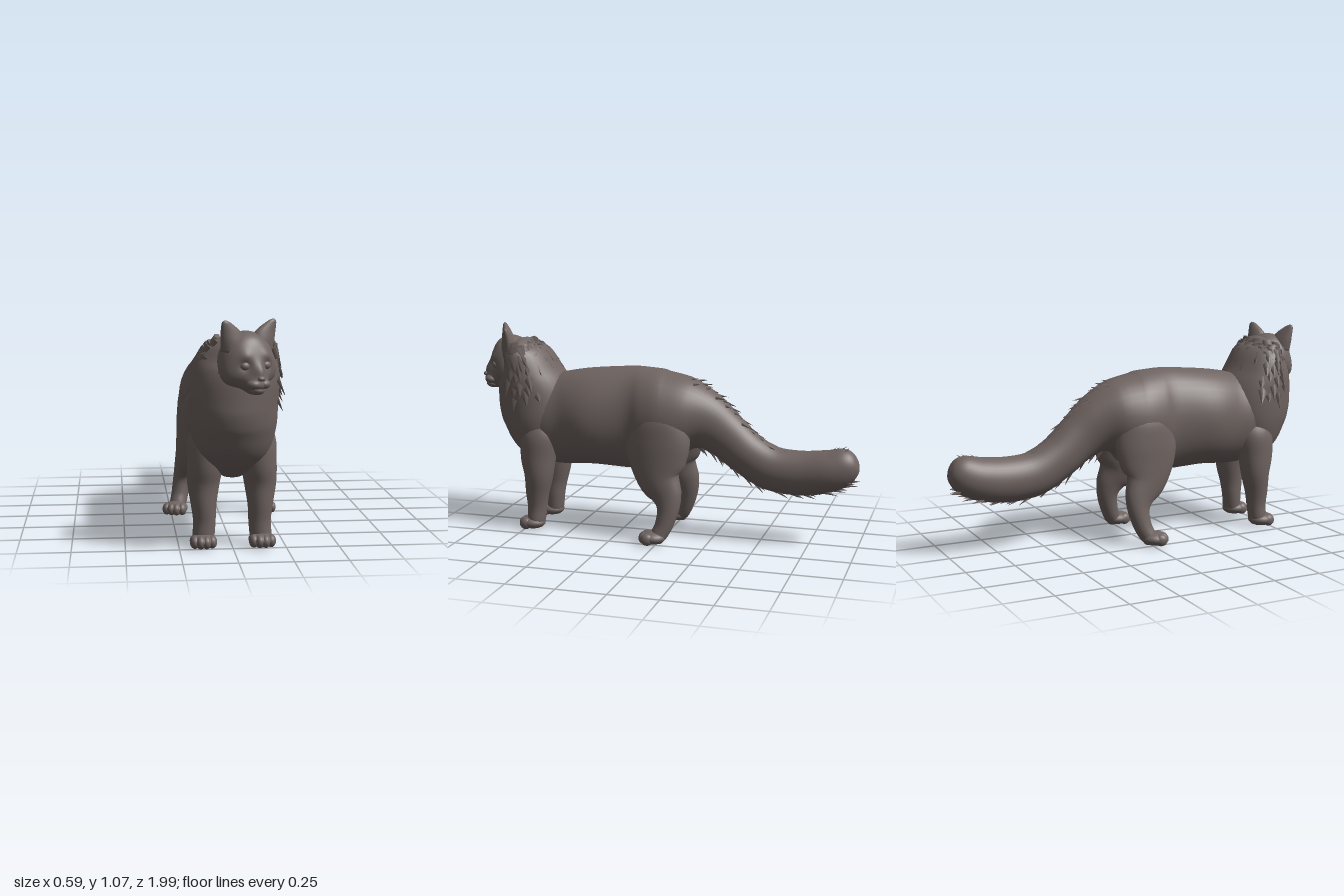
import * as THREE from 'three';
import { mergeGeometries, mergeVertices } from 'three/addons/utils/BufferGeometryUtils.js';

const fur = new THREE.MeshStandardMaterial({ color: 0x6f6461 });
fur.name = 'brownGreyFur';

// A section is [x, y, z, half width along x, half width across].
function sampler(sections) {
  const centre = new THREE.CatmullRomCurve3(sections.map(s => new THREE.Vector3(s[0], s[1], s[2])), false, 'catmullrom');
  const size = new THREE.CatmullRomCurve3(sections.map(s => new THREE.Vector3(s[3], s[4], 0)), false, 'catmullrom');
  const X = new THREE.Vector3(1, 0, 0);
  return (t, a) => {
    const c = centre.getPoint(t), r = size.getPoint(t), T = centre.getTangent(t);
    const U = T.clone().cross(X).normalize();
    const out = X.clone().multiplyScalar(Math.cos(a)).addScaledVector(U, Math.sin(a));
    const p = c.clone().addScaledVector(X, Math.cos(a) * Math.max(r.x, 0.002))
      .addScaledVector(U, Math.sin(a) * Math.max(r.y, 0.002));
    return { c, T, out, p };
  };
}

// Smooth skin over elliptical sections
function loft(sections, sides = 28) {
  const at = sampler(sections), rows = (sections.length - 1) * 5, pos = [], idx = [];
  for (let i = 0; i <= rows; i++) {
    for (let j = 0; j < sides; j++) pos.push(...at(i / rows, j / sides * Math.PI * 2).p.toArray());
  }
  for (let i = 0; i < rows; i++) {
    for (let j = 0; j < sides; j++) {
      const a = i * sides + j, b = i * sides + (j + 1) % sides;
      idx.push(a, b, a + sides, b, b + sides, a + sides);
    }
  }
  const first = pos.length / 3;
  pos.push(...at(0, 0).c.toArray(), ...at(1, 0).c.toArray());
  for (let j = 0; j < sides; j++) {
    const k = (j + 1) % sides;
    idx.push(first, k, j, first + 1, rows * sides + j, rows * sides + k);
  }
  const g = new THREE.BufferGeometry();
  g.setAttribute('position', new THREE.Float32BufferAttribute(pos, 3));
  g.setIndex(idx);
  g.computeVertexNormals();
  return g;
}

// Rows of flattened fur spikes lying back along a lofted skin
function tufts(sections, t0, t1, rows, angles, length, lift) {
  const at = sampler(sections), list = [];
  for (let i = 0; i < rows; i++) {
    angles.forEach((a, j) => {
      const s = at(t0 + (t1 - t0) * (i + 0.4 * (j % 2)) / rows, a + 0.1 * Math.sin(i * 2.3 + j));
      const len = length * (0.85 + 0.3 * Math.sin(i * 4.1 + j * 2.7));
      const y = s.T.clone().negate().addScaledVector(s.out, lift).normalize();
      const x = y.clone().cross(s.out).normalize();
      const z = x.clone().cross(y);
      const g = new THREE.ConeGeometry(length * 0.32, len, 4).scale(1, 1, 0.4);
      g.applyMatrix4(new THREE.Matrix4().makeBasis(x, y, z));
      const p = s.p.addScaledVector(y, len * 0.25).addScaledVector(s.out, -0.008);
      list.push(g.translate(p.x, p.y, p.z));
    });
  }
  return mergeGeometries(list);
}

function add(parent, name, geometry) {
  const m = new THREE.Mesh(geometry, fur);
  m.name = name;
  parent.add(m);
  return m;
}

function ball(parent, name, x, y, z, rx, ry, rz) {
  return add(parent, name, new THREE.SphereGeometry(1, 24, 16).scale(rx, ry, rz).translate(x, y, z));
}

// Paw with four toes
function paw(parent, name, x, z, turn) {
  const g = new THREE.Group();
  g.name = name;
  g.position.set(x, 0, z);
  g.rotation.y = turn;
  ball(g, 'pad', 0, 0.035, 0, 0.063, 0.035, 0.068);
  for (let i = 0; i < 4; i++) {
    const u = i - 1.5;
    ball(g, 'toe', u * 0.027, 0.033, 0.044 - Math.abs(u) * 0.012, 0.023, 0.031, 0.033);
  }
  parent.add(g);
}

const body = [
  [0, 0.445, -0.99, 0.01, 0.01], [0, 0.44, -0.975, 0.05, 0.055], [0, 0.425, -0.93, 0.08, 0.09],
  [0, 0.39, -0.84, 0.1, 0.108], [0, 0.37, -0.7, 0.1, 0.115], [0, 0.385, -0.55, 0.1, 0.115],
  [0, 0.455, -0.42, 0.1, 0.113], [0, 0.55, -0.3, 0.105, 0.125], [0, 0.61, -0.2, 0.135, 0.158],
  [0, 0.632, -0.1, 0.185, 0.206], [0, 0.624, 0, 0.207, 0.247], [0, 0.614, 0.1, 0.2, 0.265],
  [0, 0.61, 0.2, 0.18, 0.27], [0, 0.605, 0.4, 0.21, 0.257], [0, 0.587, 0.55, 0.188, 0.248],
  [0, 0.58, 0.65, 0.185, 0.235], [0, 0.58, 0.74, 0.165, 0.185], [0, 0.6, 0.81, 0.11, 0.12], [0, 0.61, 0.85, 0.03, 0.03],
];
const ruff = [
  [0, 0.34, 0.68, 0.05, 0.04], [0, 0.39, 0.69, 0.115, 0.085], [0, 0.45, 0.7, 0.165, 0.135], [0, 0.52, 0.71, 0.19, 0.172],
  [0, 0.6, 0.717, 0.204, 0.2], [0, 0.7, 0.732, 0.207, 0.203], [0.005, 0.8, 0.757, 0.207, 0.175],
  [0.012, 0.89, 0.775, 0.192, 0.137], [0.025, 0.95, 0.795, 0.163, 0.092], [0.035, 0.99, 0.805, 0.1, 0.055],
  [0.04, 1.005, 0.81, 0.03, 0.02],
];
const foreLeg = [
  [0.11, 0.62, 0.66, 0.04, 0.06], [0.12, 0.52, 0.672, 0.083, 0.1], [0.125, 0.4, 0.68, 0.085, 0.096],
  [0.133, 0.3, 0.677, 0.076, 0.078], [0.133, 0.2, 0.687, 0.06, 0.063], [0.13, 0.12, 0.69, 0.053, 0.052],
  [0.135, 0.05, 0.695, 0.052, 0.047], [0.135, 0.015, 0.7, 0.045, 0.035],
];
const hindLeg = [
  [0.08, 0.74, 0.02, 0.05, 0.06], [0.11, 0.65, 0.02, 0.092, 0.14], [0.13, 0.53, 0.018, 0.089, 0.168],
  [0.145, 0.42, 0.015, 0.077, 0.154], [0.158, 0.33, 0.003, 0.066, 0.118], [0.175, 0.25, -0.04, 0.054, 0.082],
  [0.188, 0.18, -0.052, 0.048, 0.058], [0.202, 0.1, -0.035, 0.045, 0.047], [0.215, 0.045, -0.01, 0.044, 0.042],
  [0.22, 0.015, 0, 0.04, 0.03],
];
const mirror = (sections, s) => sections.map(([x, ...rest]) => [x * s, ...rest]);

// Face shaping: [centre x, y, z, push x, y, z, reach]
const faceBumps = [
  [0, -0.085, 0.09, 0, -0.012, 0.042, 0.045], [0, -0.125, 0.05, 0, -0.01, 0.05, 0.036],
  [0, -0.03, 0.11, 0, 0, 0.02, 0.032], [0, 0.07, 0.1, 0, 0.01, -0.008, 0.05],
  ...[-1, 1].flatMap(s => [
    [s * 0.053, -0.01, 0.104, 0, 0, -0.015, 0.026], [s * 0.11, -0.05, 0.04, s * 0.016, -0.015, 0.005, 0.06],
    [s * 0.055, 0.03, 0.1, 0, 0, 0.008, 0.025], [s * 0.027, -0.085, 0.09, s * 0.01, 0, 0.012, 0.025],
  ]),
];

function skull() {
  let g = new THREE.SphereGeometry(1, 64, 48).scale(0.13, 0.138, 0.115);
  g.deleteAttribute('uv');
  g.deleteAttribute('normal');
  g = mergeVertices(g);
  const P = g.attributes.position, v = new THREE.Vector3(), move = new THREE.Vector3();
  for (let i = 0; i < P.count; i++) {
    v.fromBufferAttribute(P, i);
    move.set(0, 0, 0);
    for (const [x, y, z, px, py, pz, reach] of faceBumps) {
      const d = (v.x - x) ** 2 + (v.y - y) ** 2 + (v.z - z) ** 2;
      move.addScaledVector(new THREE.Vector3(px, py, pz), Math.exp(-d / reach ** 2));
    }
    v.add(move);
    P.setXYZ(i, v.x, v.y, v.z);
  }
  g.computeVertexNormals();
  return g;
}

function createHead() {
  const head = new THREE.Group();
  head.name = 'head';
  head.position.set(0.042, 0.885, 0.85);
  head.rotation.y = 0.42;
  add(head, 'skull', skull());
  ball(head, 'nose', 0, -0.064, 0.14, 0.018, 0.012, 0.014);
  ball(head, 'chin', 0, -0.117, 0.105, 0.034, 0.022, 0.034);
  for (const s of [-1, 1]) {
    ball(head, 'muzzle', s * 0.023, -0.09, 0.113, 0.035, 0.024, 0.034);
    ball(head, 'eye', s * 0.053, -0.01, 0.09, 0.024, 0.019, 0.018);
    add(head, 'ear', loft(mirror([
      [0.068, 0.05, 0.015, 0.06, 0.044], [0.076, 0.1, 0.02, 0.06, 0.037], [0.09, 0.138, 0.026, 0.049, 0.026],
      [0.109, 0.167, 0.032, 0.031, 0.016], [0.119, 0.182, 0.035, 0.018, 0.01], [0.123, 0.189, 0.036, 0.005, 0.003],
    ], s), 20));
    // Fur hanging behind the cheek
    add(head, 'cheekFur', tufts([[0, -0.13, -0.02, 0.1, 0.05], [0, -0.05, 0, 0.135, 0.06], [0, 0.05, 0, 0.125, 0.06]],
      0.15, 0.95, 5, s > 0 ? [-0.25, 0.1] : [Math.PI - 0.1, Math.PI + 0.25], 0.055, 0.5));
  }
  return head;
}

export function createModel() {
  const cat = new THREE.Group();
  cat.name = 'longHairedCat';
  add(cat, 'bodyAndTail', loft(body, 36));
  add(cat, 'neckRuff', loft(ruff, 36));
  cat.add(createHead());
  for (const s of [-1, 1]) {
    add(cat, 'foreLeg', loft(mirror(foreLeg, s)));
    add(cat, 'hindLeg', loft(mirror(hindLeg, s)));
    paw(cat, 'forePaw', s * 0.138, 0.715, 0);
    paw(cat, 'hindPaw', s * 0.228, 0.02, s * 0.25);
  }
  // Fur spikes: spine of the tail, its underside, and the mane
  const up = Math.PI / 2;
  add(cat, 'rumpFur', tufts(body, 0.27, 0.51, 11, [up - 0.25, up, up + 0.25], 0.075, 0.25));
  add(cat, 'tailTipFur', tufts(body, 0.1, 0.16, 2, [up - 0.3, up, up + 0.3], 0.05, 0.25));
  add(cat, 'tailUnderFur', tufts(body, 0.13, 0.44, 12, [-up - 0.3, -up, -up + 0.3], 0.09, 0.42));
  add(cat, 'maneFur', tufts(ruff, 0.52, 0.86, 7, [-0.25, 0.05, 0.35, Math.PI - 0.35, Math.PI - 0.05, Math.PI + 0.25], 0.11, 0.55));
  add(cat, 'napeFur', tufts(ruff, 0.66, 0.86, 4, [0.8, 1.2, 1.57, 1.94, 2.34], 0.085, 0.5));
  return cat;
}
